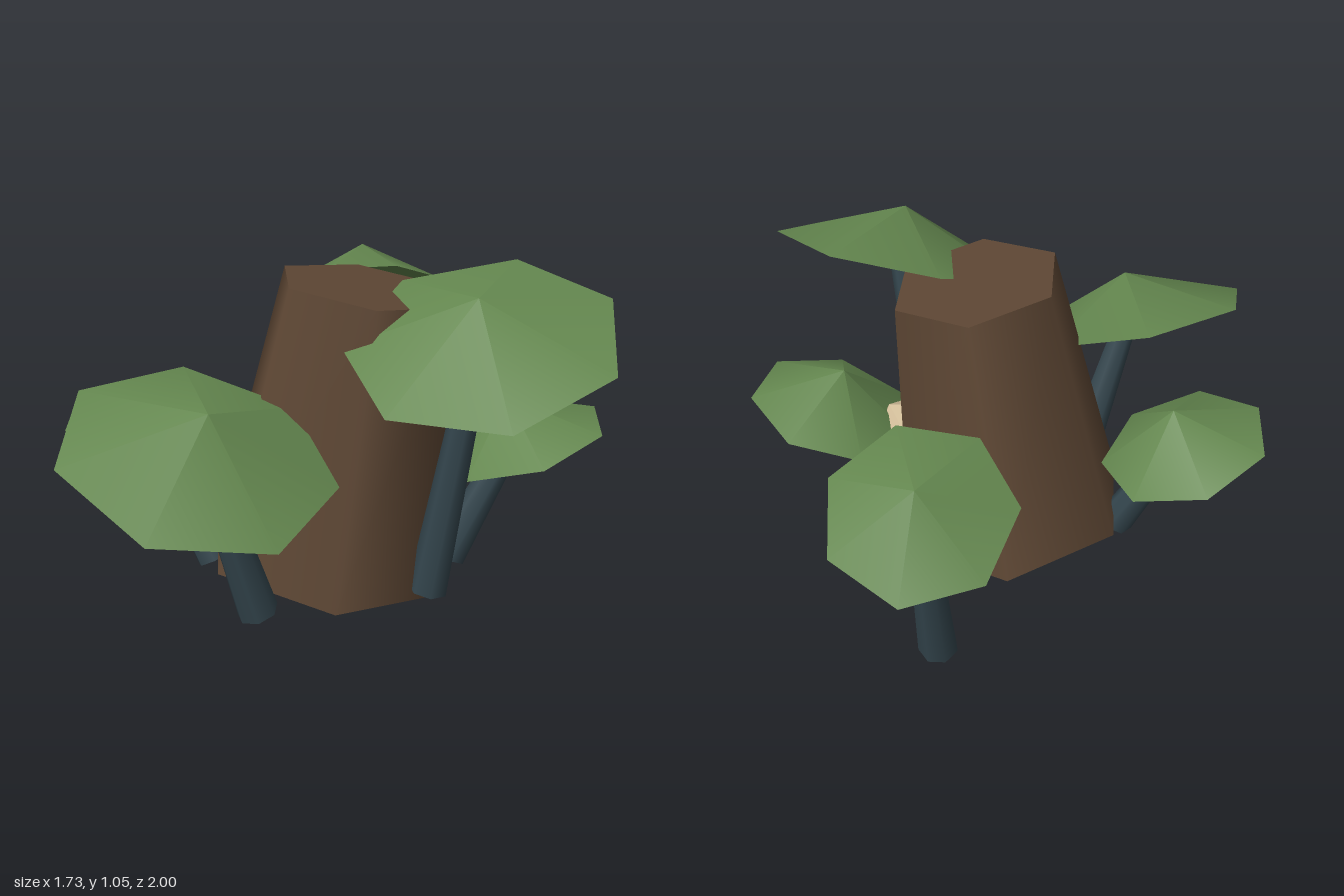
import * as THREE from 'three';

const material = (name, color) => {
  const m = new THREE.MeshStandardMaterial({ color });
  m.name = name;
  return m;
};

export function createModel() {
  const bark = material('bark brown', 0x5e4734);
  const moss = material('cap green', 0x64874f);
  const slate = material('stem slate', 0x35474f);
  const bone = material('pale stone', 0xd0bc98);

  const model = new THREE.Group();
  model.name = 'stumpWithMushrooms';
  const v = (a) => new THREE.Vector3(...a);

  const add = (parent, name, geometry, mat) => {
    const mesh = new THREE.Mesh(geometry, mat);
    mesh.name = name;
    parent.add(mesh);
    return mesh;
  };

  // Tapered prism running from one point to another
  const taper = (parent, name, from, to, rFrom, rTo, sides, mat) => {
    const a = v(from), b = v(to), axis = b.clone().sub(a);
    const mesh = add(parent, name, new THREE.CylinderGeometry(rTo, rFrom, axis.length(), sides), mat);
    mesh.position.copy(a).lerp(b, 0.5);
    mesh.quaternion.setFromUnitVectors(new THREE.Vector3(0, 1, 0), axis.normalize());
    return mesh;
  };

  // Cone cap: base centre, axis, radius and one rim corner that sets its turn
  const cap = (parent, center, axis, radius, corner) => {
    const h = 0.16;
    const c = v(center), y = v(axis).normalize();
    const z = v(corner).sub(c);
    z.addScaledVector(y, -z.dot(y)).normalize();
    const x = new THREE.Vector3().crossVectors(y, z);
    const mesh = add(parent, 'cap', new THREE.ConeGeometry(radius, h, 7), moss);
    mesh.quaternion.setFromRotationMatrix(new THREE.Matrix4().makeBasis(x, y, z));
    mesh.position.copy(c).addScaledVector(y, h / 2);
  };

  // Leaning six-sided stump
  taper(model, 'stump', [-0.03, 0.052, 0.157], [0.1, 0.975, 0.162], 0.415, 0.29, 6, bark);

  // Mushrooms around the stump
  const mushrooms = [
    { name: 'frontRightMushroom', foot: [-0.265, 0.045, 0.515], center: [-0.43, 0.595, 0.61],
      axis: [0.218, 0.919, 0.329], radius: 0.42, corner: [-0.82, 0.63, 0.77] },
    { name: 'frontLeftMushroom', foot: [0.28, 0.045, 0.4], center: [0.407, 0.887, 0.504],
      axis: [-0.17, 0.92, 0.35], radius: 0.42, corner: [0.805, 0.995, 0.43] },
    { name: 'rightMushroom', foot: [-0.395, 0.045, 0.11], center: [-0.609, 0.435, 0.036],
      axis: [0.3, 0.95, -0.06], radius: 0.29, corner: [-0.67, 0.435, -0.24] },
    { name: 'leftMushroom', foot: [0.38, 0.05, 0.16], center: [0.605, 0.45, 0.165],
      axis: [-0.29, 0.957, 0], radius: 0.29, corner: [0.865, 0.53, 0.085] },
    { name: 'backMushroom', foot: [0.17, 0.055, -0.577], center: [0.186, 0.75, -0.752],
      axis: [0, 0.88, -0.47], radius: 0.286, corner: [0.22, 0.615, -1.0] },
  ];
  for (const m of mushrooms) {
    const group = new THREE.Group();
    group.name = m.name;
    model.add(group);
    const top = v(m.center).addScaledVector(v(m.axis).normalize(), 0.03).toArray();
    taper(group, 'stem', m.foot, top, 0.065, 0.039, 7, slate);
    cap(group, m.center, m.axis, m.radius, m.corner);
  }

  // Faceted stones set into the bark
  for (const p of [[0.265, 0.69, 0.37], [0.355, 0.385, 0.16]]) {
    add(model, 'stone', new THREE.IcosahedronGeometry(0.103, 0), bone).position.set(...p);
  }

  return model;
}
